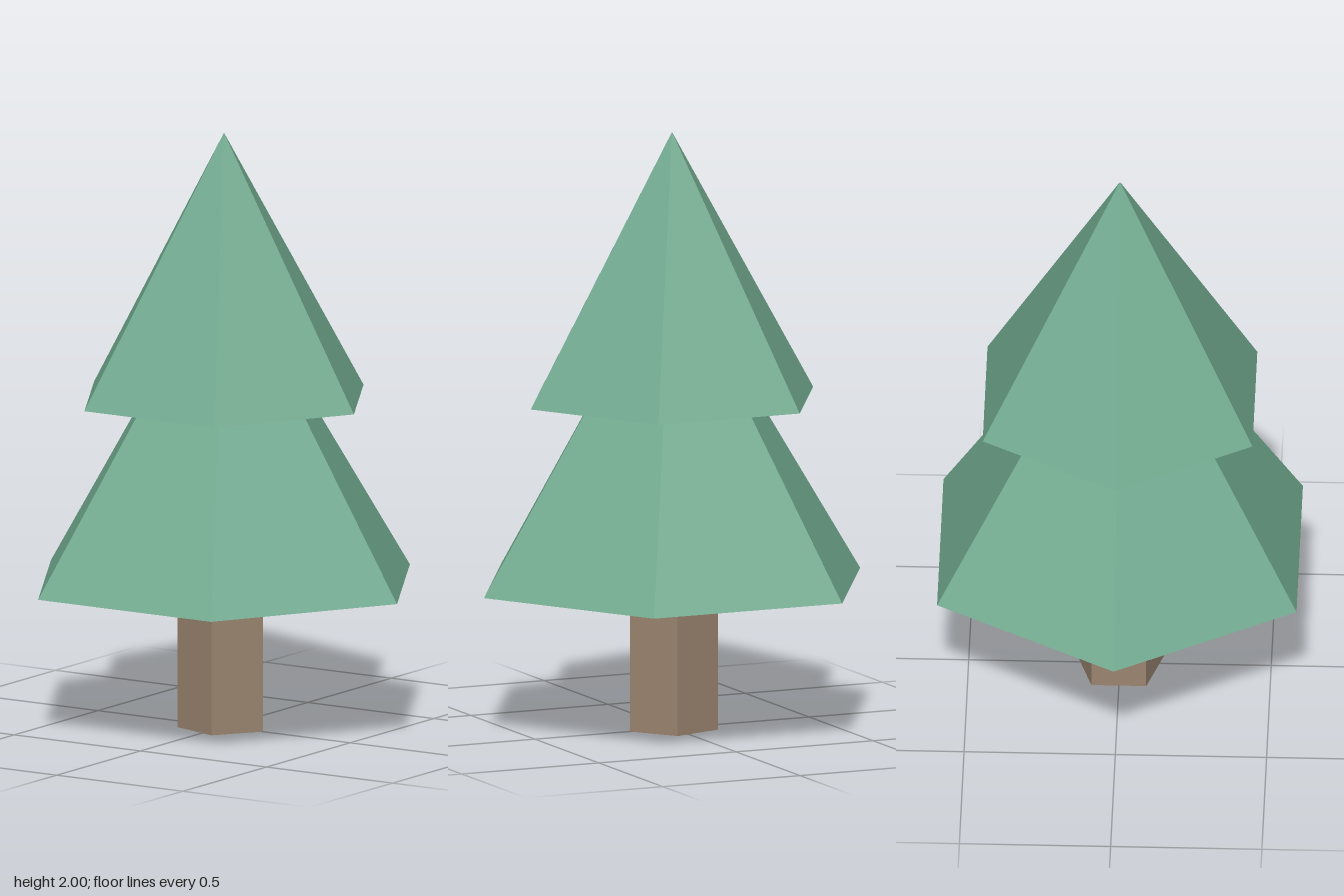
import * as THREE from 'three';

const needles = new THREE.MeshStandardMaterial({ color: 0x71aa8f, flatShading: true });
needles.name = 'needle green';
const bark = new THREE.MeshStandardMaterial({ color: 0x9c8570, flatShading: true });
bark.name = 'bark brown';

// Faceted prism or cone with one corner on +x, standing on height y
function addTier(group, name, material, sides, rTop, rBottom, y, height) {
  const geometry = new THREE.CylinderGeometry(rTop, rBottom, height, sides, 1, false, Math.PI / 2);
  const mesh = new THREE.Mesh(geometry, material);
  mesh.name = name;
  mesh.position.y = y + height / 2;
  group.add(mesh);
}

export function createModel() {
  const tree = new THREE.Group();
  tree.name = 'tree';

  // Five-sided trunk
  addTier(tree, 'trunk', bark, 5, 0.154, 0.154, 0, 0.487);

  // Two six-sided tiers of foliage, the lower one ending inside the upper
  addTier(tree, 'lowerFoliage', needles, 6, 0, 0.686, 0.487, 1.103);
  addTier(tree, 'upperFoliage', needles, 6, 0, 0.515, 1.107, 0.893);

  return tree;
}
